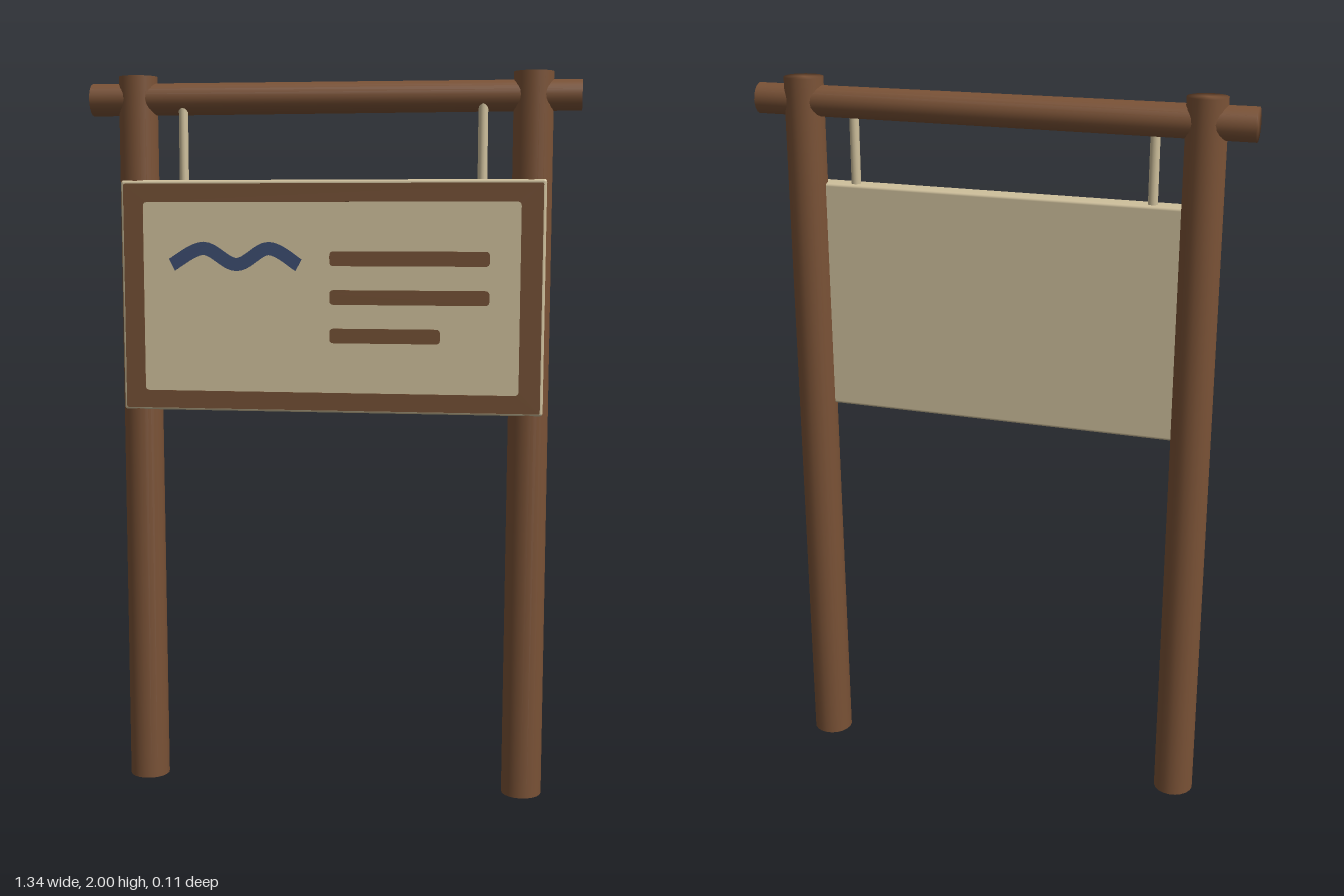
import * as THREE from 'three';
import { mergeVertices } from 'three/addons/utils/BufferGeometryUtils.js';
import { RoundedBoxGeometry } from 'three/addons/geometries/RoundedBoxGeometry.js';

const material = (name, color) => {
  const m = new THREE.MeshStandardMaterial({ color });
  m.name = name;
  return m;
};

// Round timber with normals blended over the cut ends
function log(rTop, rBottom, length) {
  const g = new THREE.CylinderGeometry(rTop, rBottom, length, 20);
  g.deleteAttribute('normal');
  g.deleteAttribute('uv');
  const merged = mergeVertices(g);
  merged.computeVertexNormals();
  return merged;
}

// Rectangle outline with slightly rounded corners
function roundedRect(Type, x0, y0, x1, y1, r) {
  const s = new Type();
  s.moveTo(x0 + r, y0);
  s.lineTo(x1 - r, y0);
  s.quadraticCurveTo(x1, y0, x1, y0 + r);
  s.lineTo(x1, y1 - r);
  s.quadraticCurveTo(x1, y1, x1 - r, y1);
  s.lineTo(x0 + r, y1);
  s.quadraticCurveTo(x0, y1, x0, y1 - r);
  s.lineTo(x0, y0 + r);
  s.quadraticCurveTo(x0, y0, x0 + r, y0);
  return s;
}

export function createModel() {
  const model = new THREE.Group();
  model.name = 'noticeBoard';
  const wood = material('brown wood', 0x7a5236);
  const cream = material('cream board', 0xcfc09c);
  const brownPaint = material('brown paint', 0x745035);
  const bluePaint = material('blue paint', 0x3c4c70);

  const add = (name, geometry, mat, x = 0, y = 0, z = 0) => {
    const mesh = new THREE.Mesh(geometry, mat);
    mesh.name = name;
    mesh.position.set(x, y, z);
    model.add(mesh);
    return mesh;
  };

  // Posts and rope hangers, mirrored
  for (const [side, s] of [['left', 1], ['right', -1]]) {
    add(side + 'Post', log(0.053, 0.056, 2), wood, s * 0.542, 1, 0);
    add(side + 'Hanger', new THREE.CylinderGeometry(0.013, 0.013, 0.22, 12), cream, s * 0.41, 1.81, 0.022);
  }

  // Crossbeam, a little thicker at its right end
  add('crossbeam', log(0.044, 0.041, 1.34), wood, 0, 1.938, 0).rotation.z = Math.PI / 2;

  // Hanging board
  add('board', new RoundedBoxGeometry(1.165, 0.635, 0.06, 2, 0.008), cream, 0, 1.4, 0.026);

  // Painted details as thin plates on the front face
  const front = 0.0555;
  const plate = (shape) => new THREE.ExtrudeGeometry(shape, { depth: 0.002, bevelEnabled: false });
  const frame = roundedRect(THREE.Shape, -0.575, 1.089, 0.575, 1.708, 0.006);
  frame.holes.push(roundedRect(THREE.Path, -0.52, 1.138, 0.517, 1.658, 0.012));
  add('paintedFrame', plate(frame), brownPaint, 0, 0, front);

  // Text-like bars
  [[1.505, 0.435], [1.4, 0.435], [1.295, 0.303]].forEach(([y, end], i) => {
    const bar = roundedRect(THREE.Shape, 0, y - 0.02, end, y + 0.02, 0.012);
    add('paintedBar' + (i + 1), plate(bar), brownPaint, 0, 0, front);
  });

  // Wavy ridge line, offset to both sides of a smooth curve
  const curve = new THREE.SplineCurve(
    [[-0.44, 1.487], [-0.35, 1.532], [-0.258, 1.488], [-0.168, 1.532], [-0.085, 1.487]]
      .map(([x, y]) => new THREE.Vector2(x, y)));
  const upper = [], lower = [];
  for (let i = 0; i <= 32; i++) {
    const p = curve.getPoint(i / 32), t = curve.getTangent(i / 32);
    const n = new THREE.Vector2(-t.y, t.x).multiplyScalar(0.018);
    upper.push(p.clone().add(n));
    lower.unshift(p.clone().sub(n));
  }
  add('paintedWave', plate(new THREE.Shape([...upper, ...lower])), bluePaint, 0, 0, front);

  return model;
}
